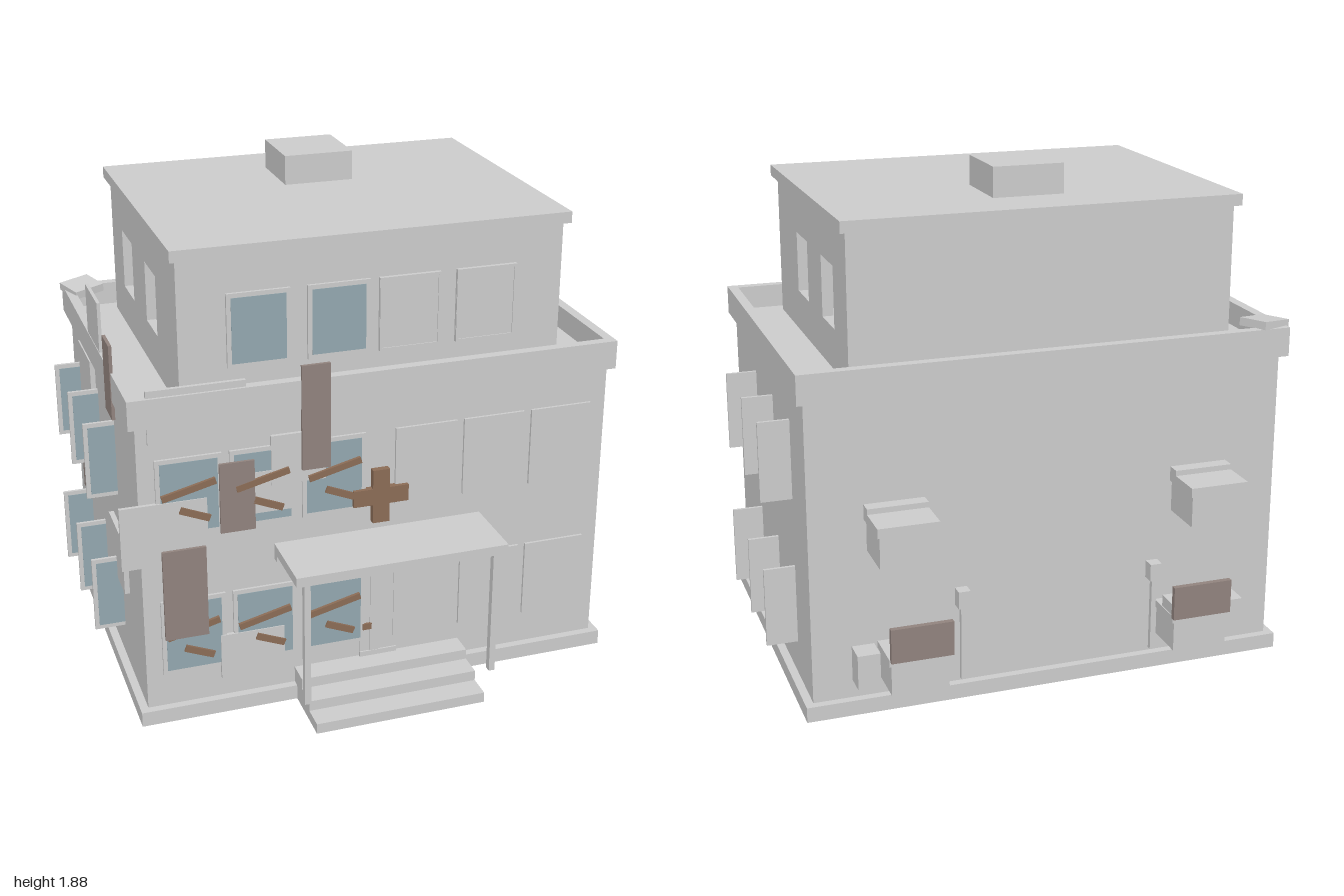
import * as THREE from 'three';

const mat = (name, color) => {
  const m = new THREE.MeshStandardMaterial({ color });
  m.name = name;
  return m;
};

export function createModel() {
  const grey = mat('plaster grey', 0xcccccc);
  const blue = mat('glass blue', 0x93a7af);
  const board = mat('board brown', 0x91837e);
  const wood = mat('plank brown', 0x8b6c56);
  const model = new THREE.Group();
  model.name = 'building';

  // Box given by its extents on each axis
  const box = (name, x0, x1, y0, y1, z0, z1, m = grey, parent = model) => {
    const mesh = new THREE.Mesh(new THREE.BoxGeometry(Math.abs(x1 - x0), y1 - y0, z1 - z0), m);
    mesh.position.set((x0 + x1) / 2, (y0 + y1) / 2, (z0 + z1) / 2);
    mesh.name = name;
    parent.add(mesh);
    return mesh;
  };
  // Flat rectangle with rectangular holes, extruded
  const rect = (T, x0, x1, y0, y1) => new T().moveTo(x0, y0).lineTo(x1, y0).lineTo(x1, y1).lineTo(x0, y1).closePath();
  const pierced = (outer, holes, depth) => {
    const s = rect(THREE.Shape, ...outer);
    holes.forEach(h => s.holes.push(rect(THREE.Path, ...h)));
    return new THREE.ExtrudeGeometry(s, { depth, bevelEnabled: false });
  };

  // Base, main storeys and flat roof
  box('base', -0.916, 0.916, 0, 0.057, -0.685, 0.595);
  box('mainWalls', -0.886, 0.886, 0.057, 1.19, -0.655, 0.565);

  // Parapet ring: shape y becomes -z
  const parapet = new THREE.Mesh(pierced([-0.912, 0.912, -0.585, 0.682], [[-0.875, 0.875, -0.548, 0.645]], 0.108), grey);
  parapet.rotation.x = -Math.PI / 2;
  parapet.position.y = 1.17;
  parapet.name = 'parapet';
  model.add(parapet);

  // Hollow top storey with open side windows
  box('topFrontWall', -0.71, 0.71, 1.19, 1.725, 0.455, 0.495);
  box('topBackWall', -0.71, 0.71, 1.19, 1.725, -0.59, -0.55);
  for (const x of [-0.71, 0.67]) {
    const geo = pierced([-0.455, 0.55, 1.19, 1.725], [[-0.175, 0, 1.342, 1.568], [0.22, 0.4, 1.342, 1.568]], 0.04);
    const wall = new THREE.Mesh(geo, grey);
    wall.rotation.y = Math.PI / 2;
    wall.position.x = x;
    wall.name = 'topSideWall';
    model.add(wall);
  }
  box('roofSlab', -0.732, 0.732, 1.724, 1.766, -0.612, 0.516);
  box('roofBox', -0.134, 0.13, 1.766, 1.876, -0.402, -0.136);

  // Windows: a frame with a rim, glazed with blue or blank
  const windowUnit = (x, y, z, w, h, glazed, bothSides) => {
    const g = new THREE.Group();
    g.name = glazed ? 'glazedWindow' : 'blankWindow';
    g.position.set(x, y, z);
    box('windowFrame', -w / 2, w / 2, -h / 2, h / 2, -0.006, 0.006, grey, g);
    if (glazed) {
      const a = w / 2 - 0.016, b = h / 2 - 0.016;
      box('windowGlass', -a, a, -b, b, bothSides ? -0.0075 : 0, 0.0075, blue, g);
    }
    model.add(g);
  };
  for (const y of [0.338, 0.892]) {
    for (const x of [0.176, 0.44, 0.706]) {
      windowUnit(x, y, 0.569, 0.238, 0.3, false);
      windowUnit(-x, y, 0.569, 0.238, 0.3, true);
    }
    // Side panes stand out from the walls like fins
    for (const z of [0.18, -0.13, -0.42]) {
      windowUnit(0.88, y, z, 0.24, 0.296, false);
      windowUnit(-0.88, y, z, 0.24, 0.296, true, true);
    }
  }
  [-0.425, -0.135, 0.128, 0.417].forEach((x, i) => {
    windowUnit(x, 1.456, 0.5, 0.229, 0.272, i < 2);
    if (i > 1) {
      const rim = new THREE.Mesh(pierced([-0.114, 0.114, -0.136, 0.136], [[-0.104, 0.104, -0.126, 0.126]], 0.005), grey);
      rim.position.set(x, 1.456, 0.505);
      rim.name = 'windowRim';
      model.add(rim);
    }
  });

  // Entrance: door, steps, canopy and posts
  box('door', -0.075, 0.07, 0.12, 0.59, 0.56, 0.571);
  for (const [y0, y1] of [[0.12, 0.14], [0.46, 0.5], [0.565, 0.59]])
    box('doorRail', -0.075, 0.07, y0, y1, 0.565, 0.577);
  box('doorStile', -0.035, 0, 0.14, 0.46, 0.565, 0.575);
  box('doorHandle', -0.065, -0.03, 0.235, 0.26, 0.57, 0.58, wood);
  [0.835, 0.745, 0.655].forEach((z, i) => box('step', -0.328, 0.325, i * 0.04, (i + 1) * 0.04, 0.55, z));
  box('canopy', -0.4, 0.395, 0.615, 0.652, 0.56, 0.837);
  box('canopyLedger', -0.4, 0.395, 0.59, 0.62, 0.56, 0.6);
  for (const s of [-1, 1]) box('canopyPost', s * 0.345, s * 0.368, 0.124, 0.616, 0.797, 0.823);

  // Loose grey patches on the front and the -x side
  for (const [x0, x1, y0, y1, z0, z1] of [
    [-0.845, -0.495, 1.105, 1.303, 0.56, 0.575],
    [-0.957, -0.645, 0.64, 0.88, 0.566, 0.58],
    [-0.41, -0.21, 0.89, 1.08, 0.566, 0.58],
    [-0.56, -0.31, 0.79, 0.95, 0.566, 0.579],
    [-0.61, -0.37, 0.135, 0.315, 0.566, 0.58],
    [-0.91, -0.898, 1.2, 1.465, -0.12, 0.105],
    [-0.905, -0.88, 0.4, 0.62, 0.07, 0.32],
    [-0.905, -0.88, 0.92, 1.14, -0.4, -0.16],
  ]) box('wallPatch', x0, x1, y0, y1, z0, z1);
  const slab = box('looseSlab', -0.907, -0.782, 1.27, 1.3, -0.672, -0.547);
  slab.rotation.set(0.06, 0.36, 0.06);

  // Large brown boards
  for (const [x0, x1, y0, y1, z0, z1] of [
    [-0.3, -0.195, 0.938, 1.334, 0.58, 0.592],
    [-0.6, -0.473, 0.735, 1.003, 0.578, 0.588],
    [-0.815, -0.656, 0.34, 0.695, 0.58, 0.592],
    [-0.915, -0.903, 1.1, 1.38, 0.2, 0.315],
    [-0.91, -0.885, 0.5, 0.69, -0.44, -0.3],
  ]) box('brownBoard', x0, x1, y0, y1, z0, z1, board);

  // Nailed planks: a long and a short one for each glazed front window
  for (const dx of [0, 0.267, 0.534])
    for (const dy of [0, -0.555]) {
      const long = box('longPlank', -0.81 + dx, -0.61 + dx, 0.91 + dy, 0.934 + dy, 0.578, 0.59, wood);
      long.rotation.z = 0.24;
      const short = box('shortPlank', -0.747 + dx, -0.633 + dx, 0.812 + dy, 0.837 + dy, 0.578, 0.588, wood);
      short.rotation.z = -0.4;
    }

  // Cross sign above the canopy
  const cross = new THREE.Shape();
  const a = 0.105, b = 0.032;
  [[-b, -a], [b, -a], [b, -b], [a, -b], [a, b], [b, b], [b, a], [-b, a], [-b, b], [-a, b], [-a, -b], [-b, -b]]
    .forEach(([x, y], i) => (i ? cross.lineTo(x, y) : cross.moveTo(x, y)));
  const sign = new THREE.Mesh(new THREE.ExtrudeGeometry(cross, { depth: 0.028, bevelEnabled: false }), wood);
  sign.position.set(-0.002, 0.79, 0.562);
  sign.name = 'crossSign';
  model.add(sign);

  // Back wall fittings, mirrored left and right
  for (const s of [-1, 1]) {
    const g = new THREE.Group();
    g.name = 'backFittings';
    const part = (name, x0, x1, ...rest) => box(name, s * x0, s * x1, ...rest, grey, g);
    part('upperBox', 0.475, 0.678, 0.613, 0.73, -0.832, -0.65);
    part('upperBoxLid', 0.467, 0.687, 0.73, 0.765, -0.84, -0.65);
    part('upperBoxStrip', 0.467, 0.687, 0.76, 0.785, -0.705, -0.65);
    part('lowerBox', 0.43, 0.64, 0.122, 0.24, -0.81, -0.65);
    part('lowerBoxLid', 0.422, 0.648, 0.235, 0.262, -0.815, -0.65);
    part('lowerBoxTop', 0.425, 0.47, 0.26, 0.305, -0.81, -0.715);
    part('sideBox', 0.66, 0.742, 0.125, 0.255, -0.74, -0.65);
    part('lampPole', 0.355, 0.373, 0.12, 0.405, -0.769, -0.751);
    part('lampHead', 0.342, 0.386, 0.4, 0.465, -0.783, -0.738);
    box('backBoard', s * 0.418, s * 0.645, 0.255, 0.383, -0.832, -0.812, board, g);
    model.add(g);
  }

  return model;
}
